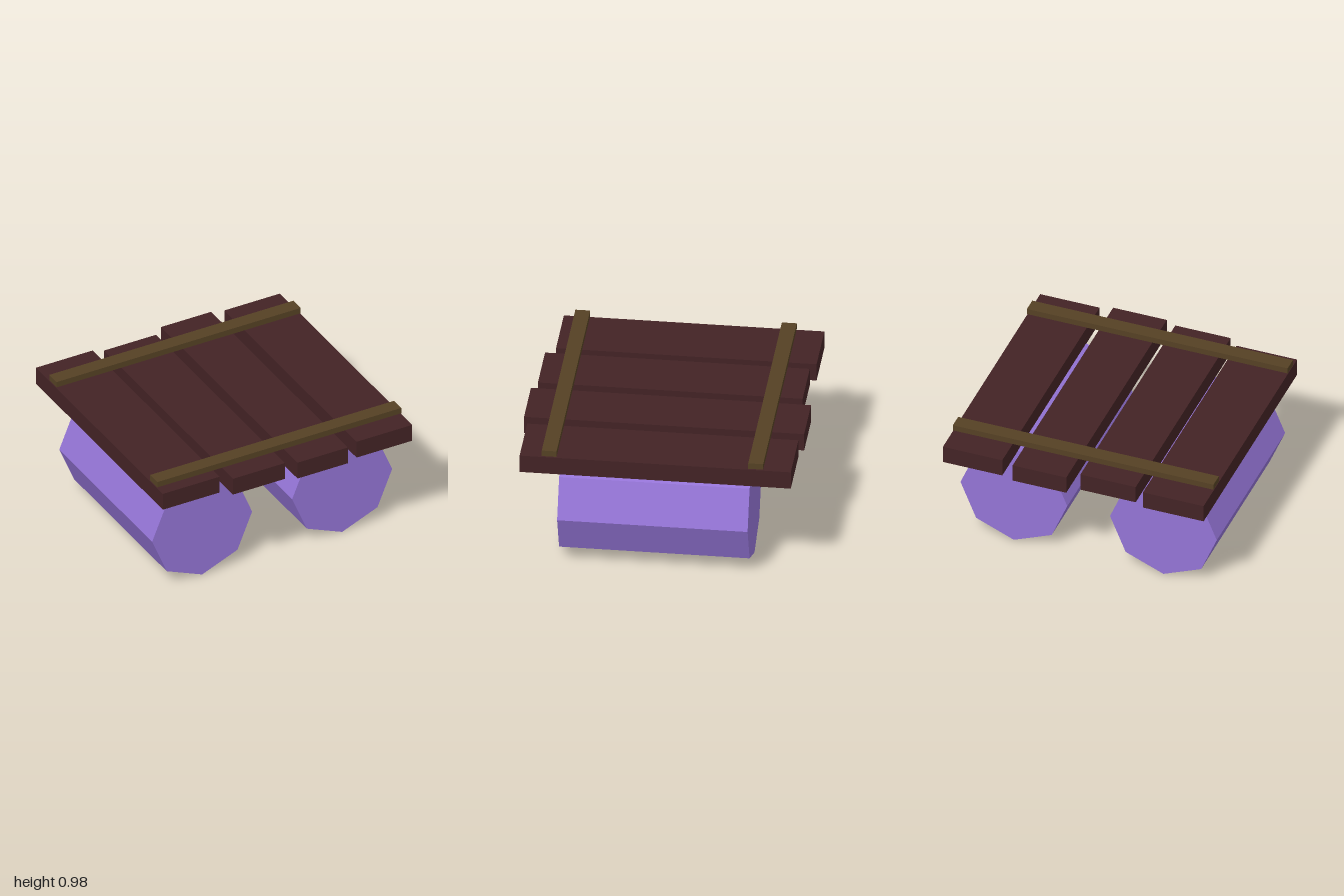
import * as THREE from 'three';

export function createModel() {
  const raft = new THREE.Group();
  raft.name = 'raft';

  const material = (name, color) => {
    const m = new THREE.MeshStandardMaterial({ color });
    m.name = name;
    return m;
  };
  const barrelPurple = material('barrelPurple', 0x9474d6);
  const plankBrown = material('plankBrown', 0x432325);
  const strapOlive = material('strapOlive', 0x554124);
  barrelPurple.flatShading = true;

  // Box spanning the given limits on each axis
  const addBox = (name, mat, x0, x1, y0, y1, z0, z1) => {
    const mesh = new THREE.Mesh(new THREE.BoxGeometry(x1 - x0, y1 - y0, z1 - z0), mat);
    mesh.position.set((x0 + x1) / 2, (y0 + y1) / 2, (z0 + z1) / 2);
    mesh.name = name;
    raft.add(mesh);
  };

  // Two eight-sided floats lying front to back, resting on an edge
  for (const [name, side] of [['leftBarrel', 1], ['rightBarrel', -1]]) {
    const geometry = new THREE.CylinderGeometry(0.405, 0.405, 1.36, 8);
    geometry.rotateX(Math.PI / 2);
    const barrel = new THREE.Mesh(geometry, barrelPurple);
    barrel.position.set(side * 0.567, 0.405, 0.02);
    barrel.name = name;
    raft.add(barrel);
  }

  // Deck planks of uneven width and length: x limits, z limits
  [
    [-0.99, -0.53, -0.97, 0.89],
    [-0.46, -0.04, -0.93, 0.96],
    [0.04, 0.447, -1, 1],
    [0.537, 0.987, -0.97, 0.966],
  ].forEach(([x0, x1, z0, z1], i) => {
    addBox(`deckPlank${i + 1}`, plankBrown, x0, x1, 0.793, 0.927, z0, z1);
  });

  // Cross straps just above the deck
  addBox('frontStrap', strapOlive, -0.99, 0.987, 0.935, 0.98, 0.702, 0.808);
  addBox('backStrap', strapOlive, -0.99, 0.987, 0.935, 0.98, -0.773, -0.666);

  return raft;
}
